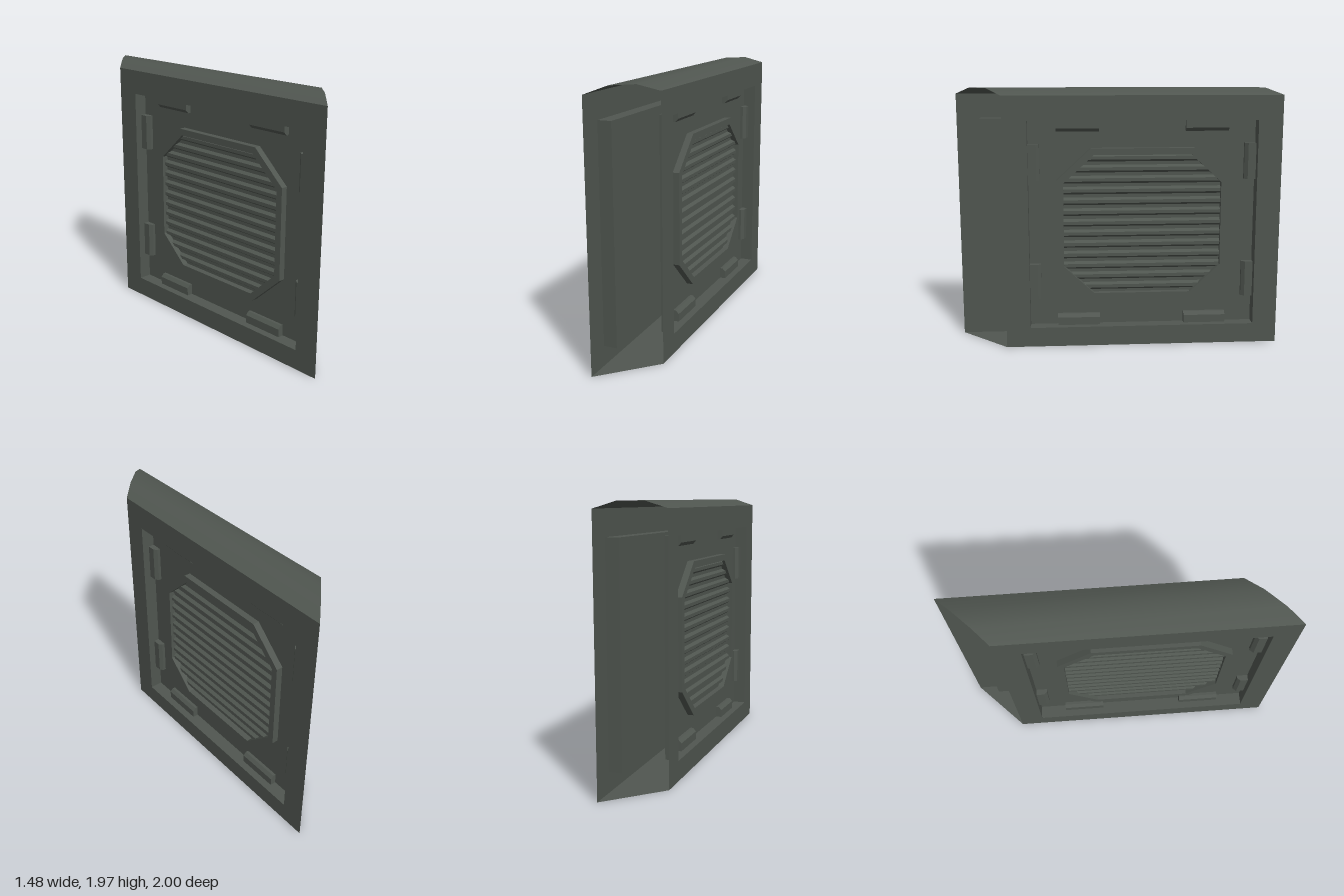
import * as THREE from 'three';

const HALF = 1.0465;          // half length of a panel face
const FACE = 0.184;           // distance of each face from the middle plane
const FLOOR = 0.084;          // recess floor
const OPEN = 0.863, Y0 = 0.15, Y1 = 1.735, MID = 0.94;
const EAVES = 1.92, RIDGE = 1.97;

const metal = new THREE.MeshStandardMaterial({ color: 0x505650, side: THREE.DoubleSide });
metal.name = 'darkGreyGreen';

function add(parent, name, geometry) {
  const mesh = new THREE.Mesh(geometry, metal);
  mesh.name = name;
  parent.add(mesh);
  return mesh;
}

// Surface through rows of [left, right] points
function sheet(rows, smooth = false) {
  let g = new THREE.BufferGeometry();
  const index = [];
  for (let i = 0; i + 1 < rows.length; i++) {
    const a = 2 * i;
    index.push(a, a + 1, a + 3, a, a + 3, a + 2);
  }
  g.setAttribute('position', new THREE.Float32BufferAttribute(rows.flat(2), 3));
  g.setIndex(index);
  if (!smooth) g = g.toNonIndexed();
  g.computeVertexNormals();
  return g;
}

function outline(points) {
  return points.map(([x, y]) => new THREE.Vector2(x, y));
}

function octagon(hx, hy, cx, cy) {
  return outline([
    [-cx, -hy], [cx, -hy], [hx, -cy], [hx, cy],
    [cx, hy], [-cx, hy], [-hx, cy], [-hx, -cy],
  ]);
}

// Chamfered clip growing from a recess wall along the direction (dx, dy)
function clip(parent, x, y, dx, dy, length) {
  const section = new THREE.Shape(outline([[0, 0], [0.085, 0], [0.085, 0.022], [0.06, 0.045], [0, 0.045]]));
  const g = new THREE.ExtrudeGeometry(section, { depth: length, bevelEnabled: false });
  g.translate(0, 0, -length / 2);
  const out = new THREE.Vector3(dx, dy, 0), up = new THREE.Vector3(0, 0, 1);
  g.applyMatrix4(new THREE.Matrix4().makeBasis(out, up, out.clone().cross(up)));
  g.translate(x, y, FLOOR);
  add(parent, 'clip', g);
}

function panelSide() {
  const side = new THREE.Group();
  side.name = 'panelSide';
  const panel = new THREE.Group();
  panel.position.x = FACE;    // the mitred ends shift each face sideways
  side.add(panel);

  // Face frame with rectangular opening
  const corners = [[-OPEN, Y0], [OPEN, Y0], [OPEN, Y1], [-OPEN, Y1]];
  const frame = new THREE.Shape(outline([[-HALF, 0], [HALF, 0], [HALF, EAVES], [-HALF, EAVES]]));
  frame.holes.push(new THREE.Path(outline(corners)));
  add(panel, 'faceFrame', new THREE.ShapeGeometry(frame)).position.z = FACE;

  // Recess floor and walls
  add(panel, 'recessFloor', new THREE.ShapeGeometry(new THREE.Shape(outline(corners)))).position.z = FLOOR;
  add(panel, 'recessWalls', sheet([...corners, corners[0]].map(([x, y]) => [[x, y, FLOOR], [x, y, FACE]])));

  // Octagonal vent rim
  const rim = new THREE.Shape(octagon(0.65, 0.585, 0.393, 0.346));
  rim.holes.push(new THREE.Path(octagon(0.6, 0.535, 0.371, 0.322)));
  const rimMesh = add(panel, 'ventRim', new THREE.ExtrudeGeometry(rim, { depth: 0.05, bevelEnabled: false }));
  rimMesh.position.set(0, MID, FLOOR);

  // Corrugated grille trimmed to the octagon
  const count = 13, top = 0.54, pitch = (2 * top) / count;
  const rows = [];
  const addRow = (y, h) => {
    const t = Math.max(0, (Math.abs(y) - 0.325) / (0.54 - 0.325));
    const half = 0.605 - t * 0.23;
    rows.push([[-half, MID + y, FLOOR + h], [half, MID + y, FLOOR + h]]);
  };
  for (let i = 0; i < count; i++) {
    const y = -top + i * pitch;
    addRow(y, 0.004);
    addRow(y + 0.3 * pitch, 0.004);
    addRow(y + 0.5 * pitch, 0.028);
    addRow(y + 0.8 * pitch, 0.028);
  }
  addRow(top, 0.004);
  add(panel, 'ventGrille', sheet(rows));

  // Clips around the recess
  for (const s of [-1, 1]) {
    clip(panel, s * 0.49, Y1, 0, -1, 0.325);
    clip(panel, s * 0.49, Y0, 0, 1, 0.325);
    for (const y of [0.497, 1.42]) clip(panel, s * OPEN, y, -s, 0, 0.275);
  }
  return side;
}

export function createModel() {
  const model = new THREE.Group();
  model.name = 'diagonalWallPanel';
  const wall = new THREE.Group();
  wall.name = 'wall';
  wall.rotation.y = -Math.PI / 4;
  model.add(wall);

  // Two identical sides, back to back
  for (const angle of [0, Math.PI]) {
    const side = panelSide();
    side.rotation.y = angle;
    wall.add(side);
  }

  // Rounded cap and flat base; the ends stay open
  const row = (y, w) => [[w - HALF, y, w], [w + HALF, y, w]];
  add(wall, 'cap', sheet([row(EAVES, FACE), row(RIDGE, 0.067), row(RIDGE, -0.067), row(EAVES, -FACE)], true));
  add(wall, 'base', sheet([row(0, -FACE), row(0, FACE)]));
  return model;
}
